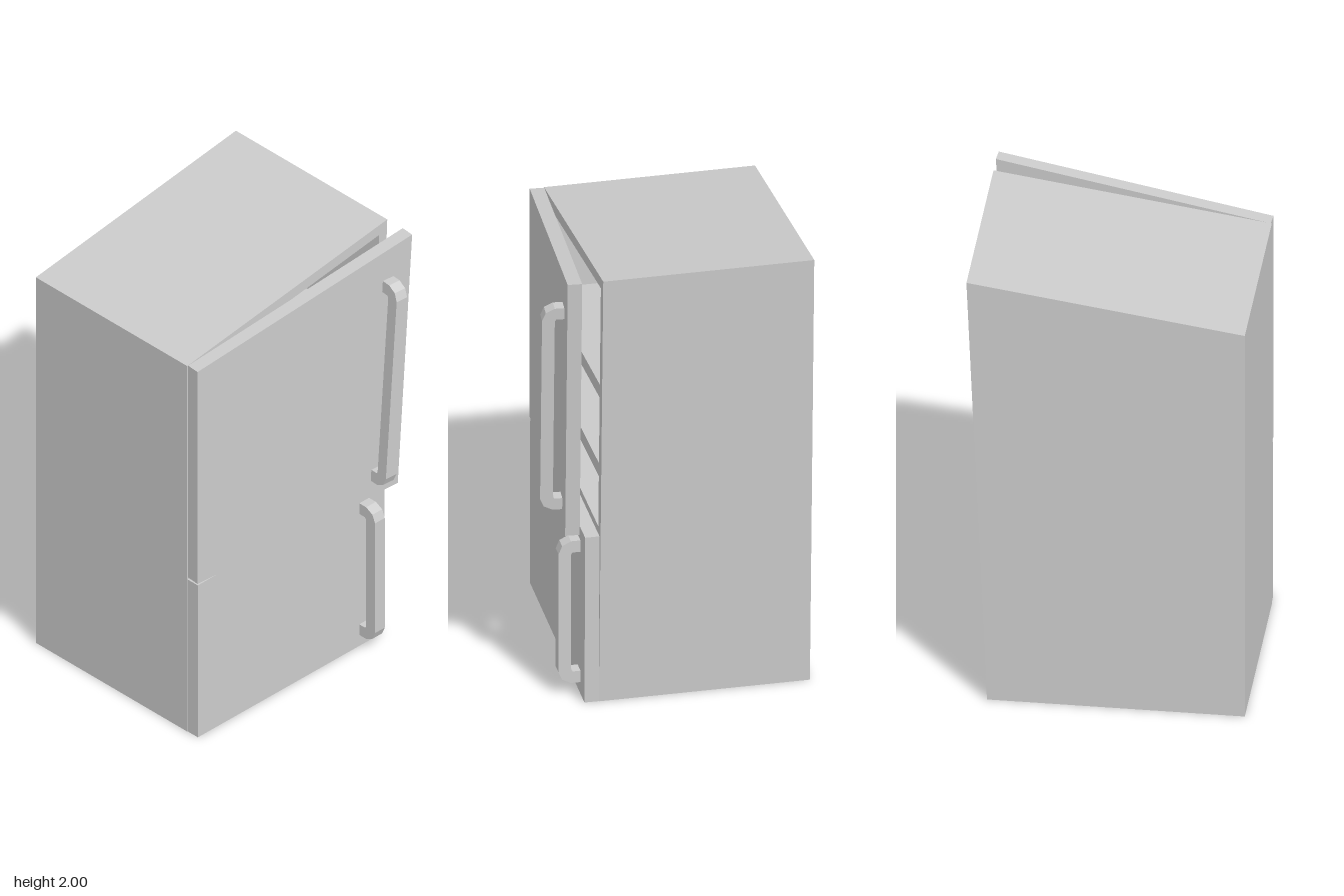
import * as THREE from 'three';

const FRONT = 0.325;   // plane where the doors meet the cabinet
const HINGE_Z = 0.575;
const DOOR = 0.06;     // door thickness

const material = new THREE.MeshStandardMaterial({ color: 0xcccccc, flatShading: true });

const lerp = (a, b, t) => a.map((v, i) => v + (b[i] - v) * t);
const toPoints = (pts) => pts.map(([u, v]) => new THREE.Vector2(u, v));

// Side profile in (-z, y), extruded along +x from x0 to x1
function sidePanel(name, pts, x0, x1, holes = []) {
  const shape = new THREE.Shape(toPoints(pts));
  holes.forEach((h) => shape.holes.push(new THREE.Path(toPoints(h))));
  const geo = new THREE.ExtrudeGeometry(shape, { depth: x1 - x0, bevelEnabled: false });
  geo.rotateY(Math.PI / 2);
  geo.translate(x0, 0, 0);
  const mesh = new THREE.Mesh(geo, material);
  mesh.name = name;
  return mesh;
}

// Bracket handle with faceted outer corners, leaning back by `lean` per unit of height
function handle(name, y0, y1, lean) {
  const a = FRONT + DOOR - 0.005, b = 0.477, w = 0.053;
  const shape = new THREE.Shape(toPoints([
    [a, y0], [0.425, y0], [0.462, y0 + 0.019], [b, y0 + 0.055],
    [b, y1 - 0.055], [0.462, y1 - 0.019], [0.425, y1], [a, y1],
    [a, y1 - w], [b - w - 0.006, y1 - w], [b - w, y1 - w - 0.008],
    [b - w, y0 + w + 0.008], [b - w - 0.006, y0 + w], [a, y0 + w],
  ]));
  const geo = new THREE.ExtrudeGeometry(shape, { depth: 0.056, bevelEnabled: false });
  geo.translate(0, 0, -0.411);
  const p = geo.attributes.position;
  for (let i = 0; i < p.count; i++) p.setZ(i, p.getZ(i) - lean * (p.getY(i) - y0));
  geo.computeVertexNormals();
  const mesh = new THREE.Mesh(geo, material);
  mesh.name = name;
  return mesh;
}

export function createModel() {
  const model = new THREE.Group();
  model.name = 'refrigerator';

  // Skewed cabinet: a closed back and a shell with open compartments
  const outline = [[-0.575, 0], [0.49, 0], [0.575, 2], [-0.575, 1.833]];
  const low = [[-0.53, 0.79], [0.478, 0.81]];
  const high = [[-0.53, 1.79], [0.528, 1.945]];
  const compartments = [[0, 0.21], [0.265, 0.54], [0.595, 1]].map(([t0, t1]) => [
    lerp(low[0], high[0], t0), lerp(low[1], high[1], t0),
    lerp(low[1], high[1], t1), lerp(low[0], high[0], t1),
  ]);
  model.add(
    sidePanel('cabinetBack', outline, -0.56, -0.51),
    sidePanel('cabinetShellWithShelves', outline, -0.51, FRONT, compartments),
  );

  // Closed lower door
  const lowerDoor = new THREE.Group();
  lowerDoor.name = 'lowerDoor';
  lowerDoor.add(
    sidePanel('lowerDoorPanel', [[-0.573, 0], [0.488, 0], [0.502, 0.775], [-0.573, 0.762]], FRONT, FRONT + DOOR),
    handle('lowerDoorHandle', 0.055, 0.715, 0),
  );
  model.add(lowerDoor);

  // Upper door, ajar on its front vertical hinge
  const upperDoor = new THREE.Group();
  upperDoor.name = 'upperDoor';
  const panel = sidePanel('upperDoorPanel',
    [[-0.573, 0.77], [0.5, 0.79], [0.577, 2], [-0.573, 1.833]], FRONT, FRONT + DOOR);
  const upperHandle = handle('upperDoorHandle', 0.867, 1.838, 0.067);
  for (const part of [panel, upperHandle]) {
    part.geometry.translate(-FRONT, 0, -HINGE_Z);
    upperDoor.add(part);
  }
  upperDoor.position.set(FRONT, 0, HINGE_Z - 0.003);
  upperDoor.rotation.y = -0.077;
  model.add(upperDoor);

  return model;
}
